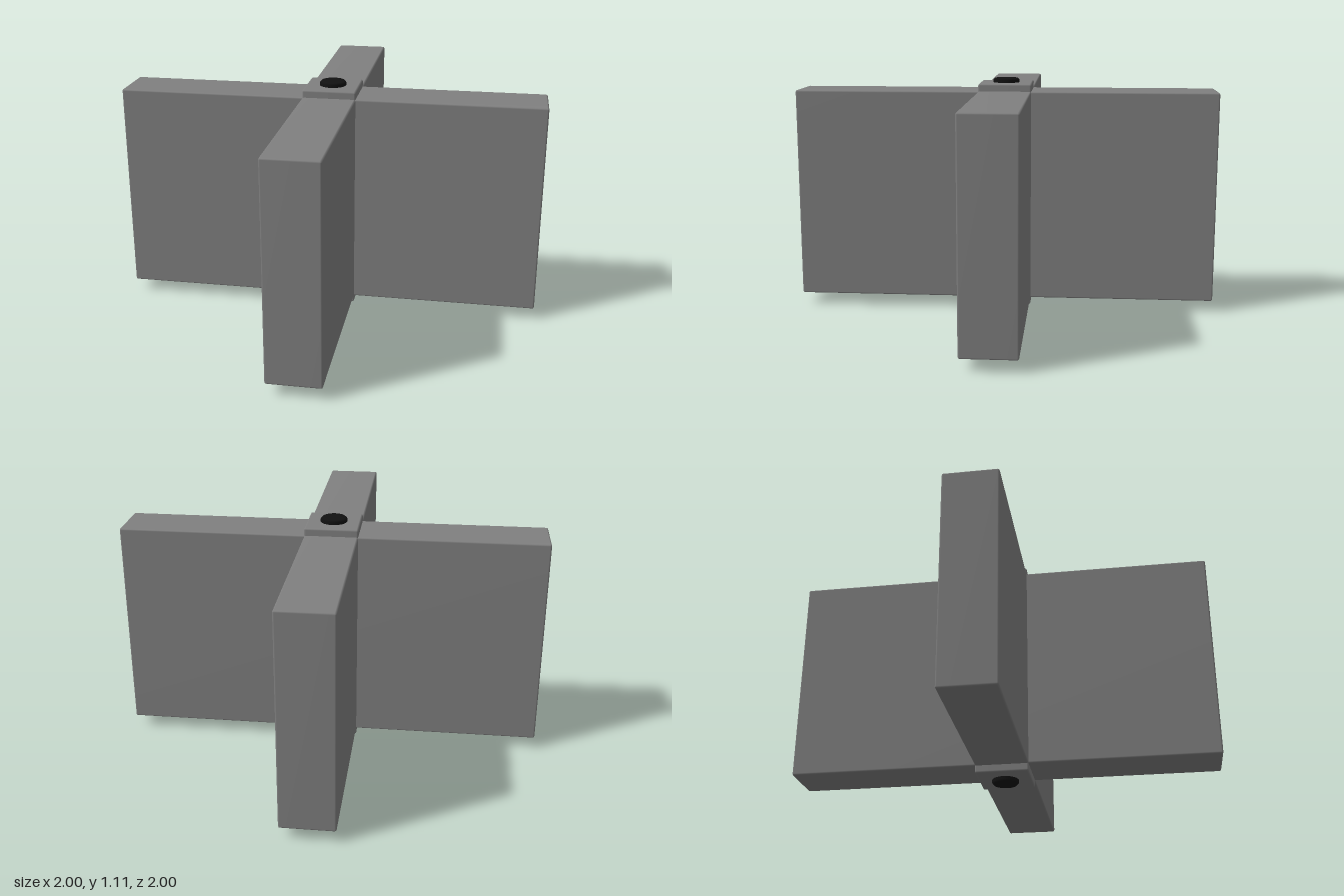
import * as THREE from 'three';
import { mergeVertices } from 'three/addons/utils/BufferGeometryUtils.js';
import { RoundedBoxGeometry } from 'three/addons/geometries/RoundedBoxGeometry.js';

const CENTRE_Y = 0.555;

// Box with a small bevel and normals blended over its edges
function bevelledBox(w, h, d) {
  let geometry = new RoundedBoxGeometry(w, h, d, 1, 0.008);
  geometry.deleteAttribute('normal');
  geometry.deleteAttribute('uv');
  geometry = mergeVertices(geometry, 1e-4);
  geometry.computeVertexNormals();
  return geometry;
}

export function createModel() {
  const group = new THREE.Group();
  const grey = new THREE.MeshStandardMaterial({ color: 0x808080 });
  const black = new THREE.MeshStandardMaterial({ color: 0x111111 });

  const add = (name, geometry, material) => {
    const mesh = new THREE.Mesh(geometry, material);
    mesh.name = name;
    mesh.position.y = CENTRE_Y;
    group.add(mesh);
    return mesh;
  };

  // Two crossing slabs form the four paddles
  add('sidePaddles', bevelledBox(2, 1, 0.25), grey);
  add('frontBackPaddles', bevelledBox(0.25, 1, 2), grey);

  // Square hub, slightly taller than the paddles
  add('hub', bevelledBox(0.25, 1.07, 0.25), grey);

  // Axle through the hub with chamfered ends
  const profile = [[0, -0.555], [0.055, -0.555], [0.0625, -0.547],
    [0.0625, 0.547], [0.055, 0.555], [0, 0.555]].map(([r, y]) => new THREE.Vector2(r, y));
  add('axle', new THREE.LatheGeometry(profile, 32), black);

  return group;
}
